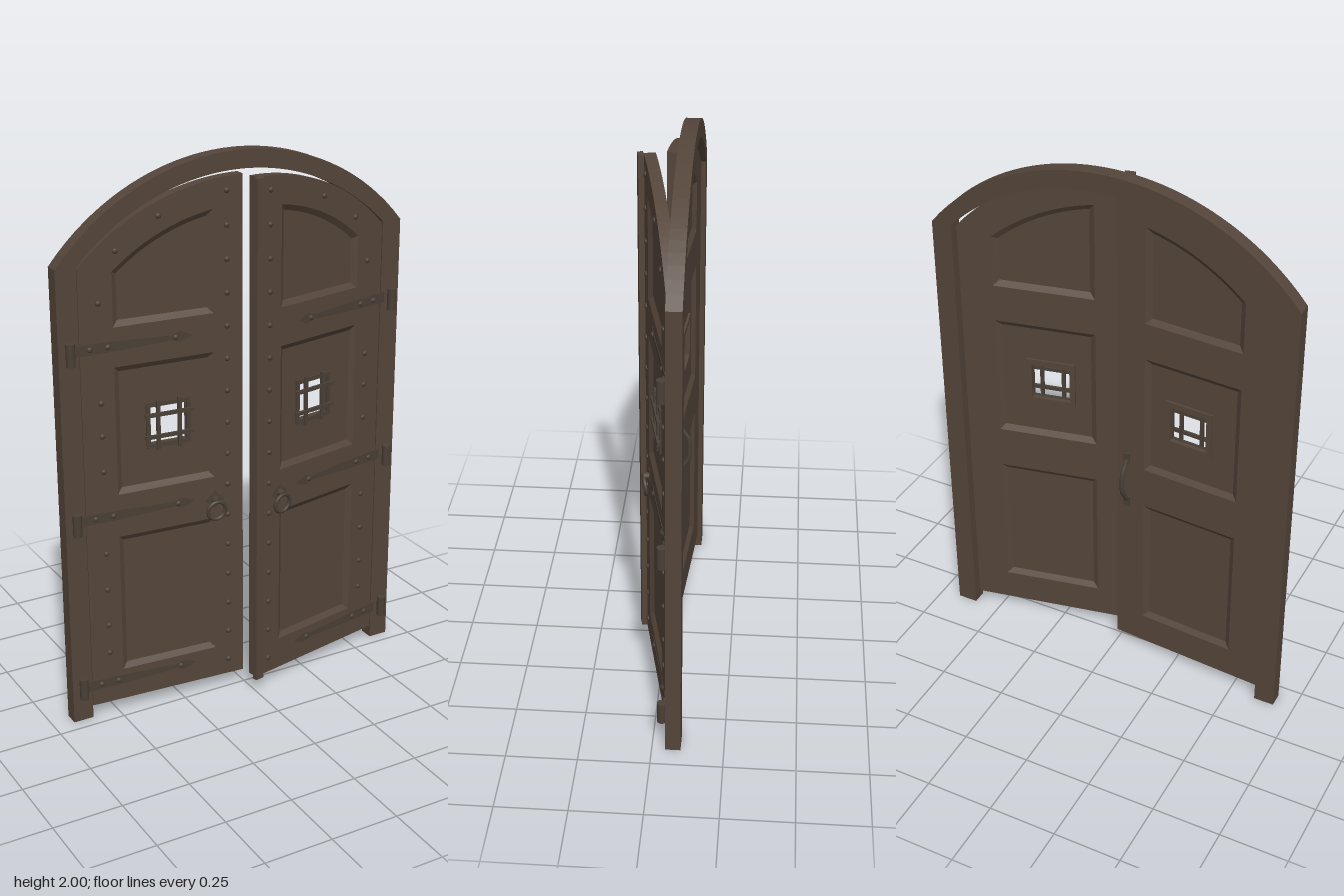
import * as THREE from 'three';

const wood = new THREE.MeshStandardMaterial({ color: 0x54453a });
wood.name = 'dark wood';
const iron = new THREE.MeshStandardMaterial({ color: 0x4a4036 });
iron.name = 'aged iron';

const W = 0.597, T = 0.04;          // leaf width and thickness
const CY = 1.1, R = 0.83;           // arch centre height and leaf arch radius

function add(parent, name, geometry, material, x = 0, y = 0, z = 0) {
  const m = new THREE.Mesh(geometry, material);
  m.name = name;
  m.position.set(x, y, z);
  parent.add(m);
  return m;
}

const box = (w, h, d) => new THREE.BoxGeometry(w, h, d);

function extrude(points, depth, holes = []) {
  const shape = new THREE.Shape(points);
  for (const h of holes) shape.holes.push(new THREE.Path(h));
  return new THREE.ExtrudeGeometry(shape, { depth, bevelEnabled: false });
}

// Points along a circular arch between two x positions
function arch(x0, x1, cy, r, n = 24) {
  const pts = [];
  for (let i = 0; i <= n; i++) {
    const x = x0 + (x1 - x0) * i / n;
    pts.push(new THREE.Vector2(x, cy + Math.sqrt(r * r - x * x)));
  }
  return pts;
}

// Outline running from hinge side a to free side b, with a flat or arched top; counterclockwise
function outline(s, a, b, y0, top, arched) {
  const pts = [[a, y0], [b, y0]].map(([u, y]) => new THREE.Vector2(s * u, y));
  if (arched) {
    for (const p of arch(0.6 - b, 0.6 - a, CY, top)) pts.push(new THREE.Vector2(s * (0.6 - p.x), p.y));
  } else {
    pts.push(new THREE.Vector2(s * b, top), new THREE.Vector2(s * a, top));
  }
  return THREE.ShapeUtils.isClockWise(pts) ? pts.reverse() : pts;
}

// Sloping ring between an outer and an inner outline
function slope(outer, inner, zo, zi, flip) {
  const pos = [];
  const n = outer.length;
  for (let i = 0; i < n; i++) {
    const j = (i + 1) % n;
    const a = [outer[i].x, outer[i].y, zo], b = [outer[j].x, outer[j].y, zo];
    const c = [inner[j].x, inner[j].y, zi], d = [inner[i].x, inner[i].y, zi];
    pos.push(...(flip ? [a, c, b, a, d, c] : [a, b, c, a, c, d]).flat());
  }
  const g = new THREE.BufferGeometry();
  g.setAttribute('position', new THREE.Float32BufferAttribute(pos, 3));
  g.computeVertexNormals();
  return g;
}

function square(cx, cy, h) {
  return [[-1, -1], [1, -1], [1, 1], [-1, 1]].map(([i, j]) => new THREE.Vector2(cx + i * h, cy + j * h));
}

// Door leaf: hinge at the origin, free edge toward s * x, front face at z = 0
function leaf(s) {
  const g = new THREE.Group();
  const panels = [
    [0.12, 0.487, 0.17, 0.695, false],
    [0.12, 0.487, 0.855, 1.32, false],
    [0.12, 0.487, 1.46, 0.73, true],
  ];
  const cut = (p, d) => outline(s, p[0] + d, p[1] - d, p[2] + d, p[3] - d, p[4]);
  add(g, 'leafFrame', extrude(outline(s, 0, W, 0.05, R, true), T, panels.map(p => cut(p, 0))), wood, 0, 0, -T);

  // Recessed panels with sloping mouldings on both faces
  const wx = s * 0.318, wy = 1.085;
  panels.forEach((p, i) => {
    const holes = i === 1 ? [square(wx, wy, 0.072)] : [];
    add(g, 'panel', extrude(cut(p, 0.019), 0.012, holes), wood, 0, 0, -0.026);
    add(g, 'frontMoulding', slope(cut(p, 0), cut(p, 0.02), 0, -0.014, false), wood);
    add(g, 'backMoulding', slope(cut(p, 0), cut(p, 0.02), -T, -0.026, true), wood);
  });

  // Peephole window with a barred grille
  add(g, 'windowBackFrame', extrude(square(wx, wy, 0.09), 0.01, [square(wx, wy, 0.07)]), wood, 0, 0, -0.035);
  add(g, 'grilleFrame', extrude(square(wx, wy, 0.083), 0.008, [square(wx, wy, 0.068)]), iron, 0, 0, -0.015);
  for (const d of [-0.04, 0.04]) {
    add(g, 'grilleUpright', box(0.013, 0.182, 0.01), iron, wx + d, wy, -0.006);
    add(g, 'grilleCrossbar', box(0.182, 0.013, 0.01), iron, wx, wy + d, -0.002);
  }

  // Round-headed studs
  const studGeo = new THREE.SphereGeometry(0.0105, 10, 4, 0, Math.PI * 2, 0, Math.PI / 2).rotateX(Math.PI / 2).scale(1, 1, 0.75);
  const stud = (u, y, z = 0) => add(g, 'stud', studGeo, iron, s * u, y, z);
  for (let i = 0; i < 16; i++) stud(0.538, 0.11 + i * 0.118);
  for (const y of [0.25, 0.36, 0.5, 0.64, 0.95, 1.08, 1.2, 1.55]) stud(0.07, y);
  for (const [u, y] of [[0.135, 1.72], [0.29, 1.82]]) stud(u, y);

  // Strap hinges with barrel knuckles
  for (const y of [0.13, 0.78, 1.395]) {
    const strap = [[-0.035, -0.02], [0.12, -0.018], [0.33, -0.009], [0.36, -0.02], [0.41, 0],
      [0.36, 0.02], [0.33, 0.009], [0.12, 0.018], [-0.035, 0.02]]
      .map(([u, v]) => new THREE.Vector2(s * u, y + v));
    add(g, 'hingeStrap', extrude(strap, 0.003), iron, 0, 0, -0.001);
    for (const u of [0.035, 0.1, 0.345]) stud(u, y, 0.001);
  }

  // Ring pull on a diamond backplate
  const hx = s * 0.487, hy = 0.73;
  add(g, 'ringBackplate', new THREE.CylinderGeometry(0.036, 0.036, 0.003, 4).rotateX(Math.PI / 2), iron, hx, hy + 0.036, 0.001);
  add(g, 'ringMount', new THREE.CylinderGeometry(0.011, 0.014, 0.022, 12).rotateX(Math.PI / 2), iron, hx, hy + 0.038, 0.011);
  const ring = add(g, 'ringPull', new THREE.TorusGeometry(0.034, 0.007, 8, 28), iron, hx, hy, 0.016);
  ring.rotation.x = 0.1;
  return g;
}

export function createModel() {
  const model = new THREE.Group();
  model.name = 'archedDoubleDoor';

  // Surrounding arched frame
  const rim = [
    new THREE.Vector2(-0.675, 0), new THREE.Vector2(-0.6, 0),
    ...arch(-0.6, 0.6, 1.102, 0.833, 40),
    new THREE.Vector2(0.6, 0), new THREE.Vector2(0.675, 0),
    ...arch(0.675, -0.675, 1.128, 0.872, 40),
  ];
  add(model, 'archedFrame', extrude(rim, 0.053), wood, 0, 0, -0.1);

  // Two leaves, each ajar by its own angle
  const rightLeaf = leaf(1);
  rightLeaf.name = 'rightLeaf';
  rightLeaf.position.set(-0.6, 0, -0.043);
  rightLeaf.rotation.y = -0.07;
  const leftLeaf = leaf(-1);
  leftLeaf.name = 'leftLeaf';
  leftLeaf.position.set(0.595, 0, -0.045);
  leftLeaf.rotation.y = 0.2;
  model.add(rightLeaf, leftLeaf);

  // Cover strip on the free edge of the left leaf
  add(leftLeaf, 'coverStrip', box(0.036, 1.88, 0.02), wood, -0.596, 0.99, 0.01);

  // Pull handle on the back of the right leaf
  const path = new THREE.CatmullRomCurve3([
    [0.7, -0.045], [0.72, -0.056], [0.75, -0.074], [0.79, -0.078], [0.83, -0.074], [0.86, -0.056], [0.88, -0.045],
  ].map(([y, z]) => new THREE.Vector3(0.555, y, z)));
  add(rightLeaf, 'backHandle', new THREE.TubeGeometry(path, 24, 0.008, 8), iron);
  for (const y of [0.695, 0.885]) add(rightLeaf, 'backHandlePlate', box(0.022, 0.04, 0.008), iron, 0.555, y, -0.043);

  // Hinge barrels fixed to the frame
  for (const x of [-0.638, 0.638]) {
    for (const y of [0.135, 0.775, 1.39]) {
      add(model, 'hingeBarrel', new THREE.CylinderGeometry(0.016, 0.016, 0.08, 12), iron, x, y, -0.032);
    }
  }
  return model;
}
